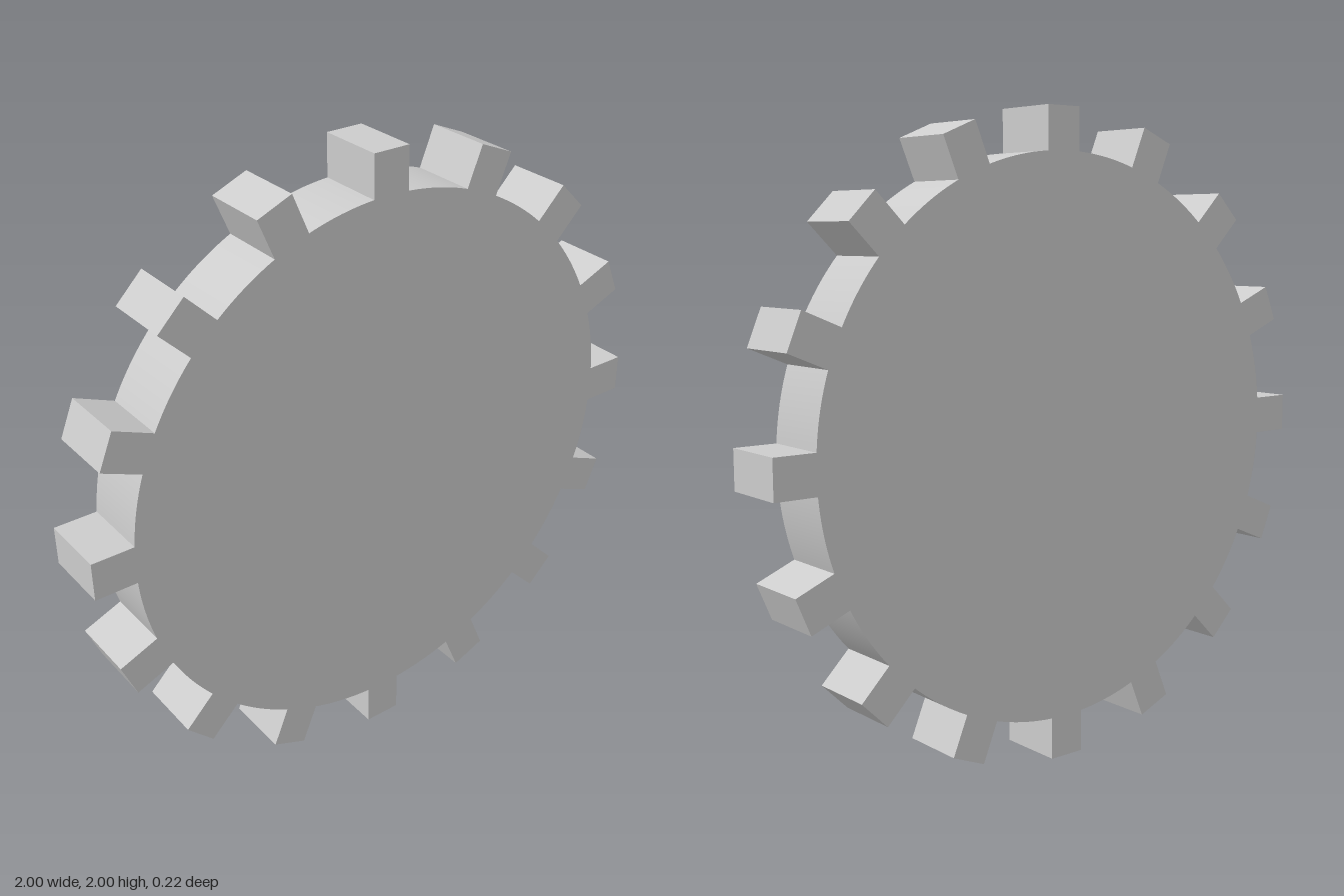
import * as THREE from 'three';
import { toCreasedNormals } from 'three/addons/utils/BufferGeometryUtils.js';

const TEETH = 16;
const ROOT = 0.87;        // disc radius
const TIP = 1.0;          // distance from the centre to each tooth's flat end
const HALF_WIDTH = 0.06;  // half of a tooth's width
const SHIFT = -0.0085;    // teeth sit slightly clockwise of their axes
const DEPTH = 0.216;

// Outline: straight-sided teeth joined by arcs of the disc rim
function gearOutline() {
  const shape = new THREE.Shape();
  const low = SHIFT - HALF_WIDTH;
  const high = SHIFT + HALF_WIDTH;
  const lowAngle = Math.asin(low / ROOT);
  const highAngle = Math.asin(high / ROOT);
  const step = (Math.PI * 2) / TEETH;

  shape.moveTo(ROOT * Math.cos(lowAngle), low);
  for (let i = 0; i < TEETH; i++) {
    const a = i * step;
    const c = Math.cos(a);
    const s = Math.sin(a);
    for (const t of [low, high]) shape.lineTo(TIP * c - t * s, TIP * s + t * c);
    shape.absarc(0, 0, ROOT, a + highAngle, a + step + lowAngle, false);
  }
  return shape;
}

export function createModel() {
  const model = new THREE.Group();
  model.name = 'gear';

  const extruded = new THREE.ExtrudeGeometry(gearOutline(), {
    depth: DEPTH,
    bevelEnabled: false,
    curveSegments: 8,
  });
  extruded.translate(0, 1, -DEPTH / 2);

  // Smooth rim arcs, sharp tooth and face edges
  const wheel = new THREE.Mesh(
    toCreasedNormals(extruded, Math.PI / 6),
    new THREE.MeshStandardMaterial({ color: 0xcccccc })
  );
  wheel.name = 'toothedWheel';
  model.add(wheel);
  return model;
}
